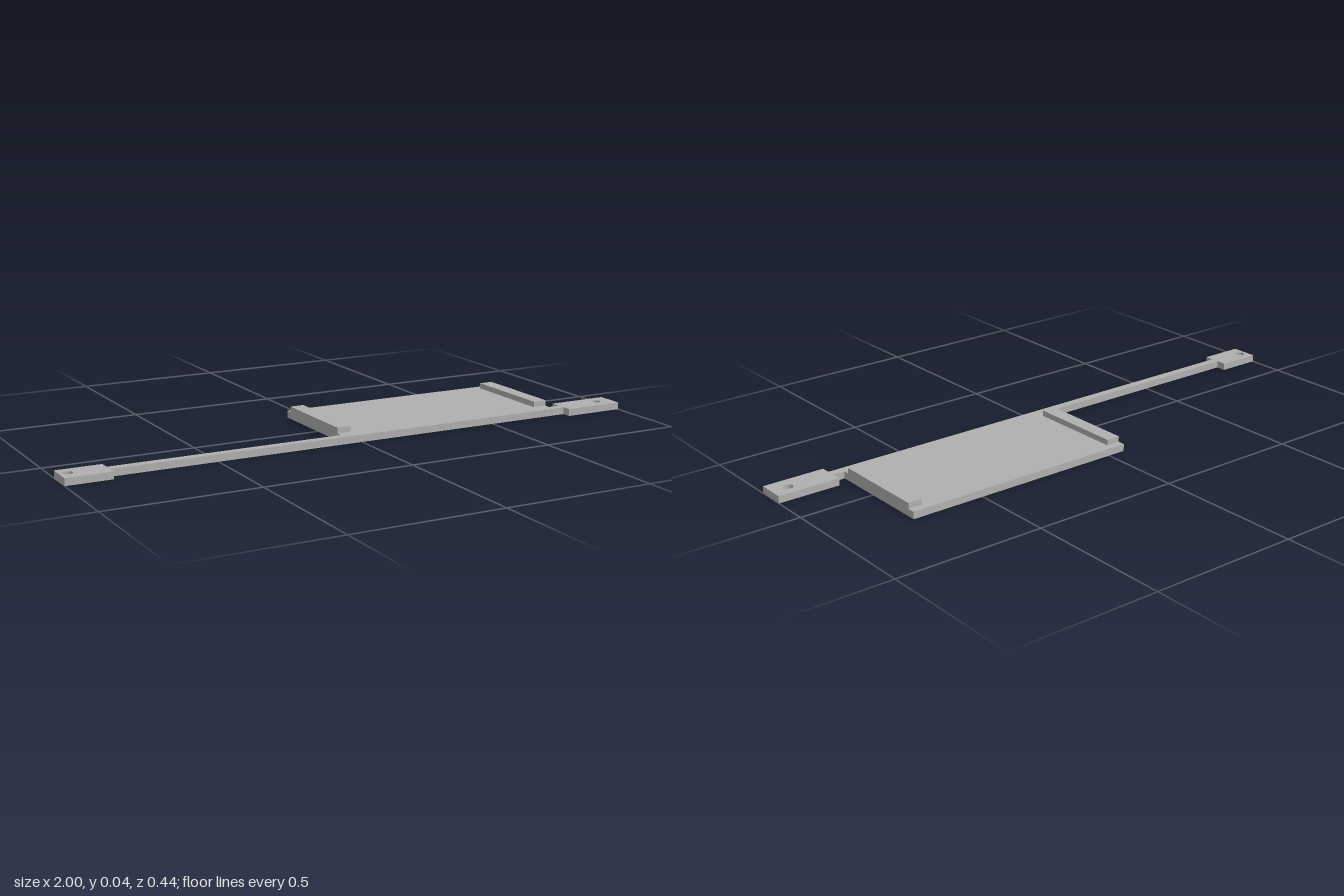
import * as THREE from 'three';

const T = 0.024; // sheet thickness

export function createModel() {
  const model = new THREE.Group();
  model.name = 'mountingBracket';
  const grey = new THREE.MeshStandardMaterial({ color: 0xb0b0b0 });
  grey.name = 'plain grey';

  // Flat base: plate, thin arm and end tabs in one outline of [x, z] points
  const outline = [
    [-1, 0.219], [-0.85, 0.219], [-0.85, 0.188], [0.79, 0.188], [0.79, 0.219], [1, 0.219],
    [1, 0.125], [0.79, 0.125], [0.79, 0.16], [0.75, 0.16], [0.75, -0.219], [-0.062, -0.219],
    [-0.062, 0.16], [-0.85, 0.16], [-0.85, 0.125], [-1, 0.125],
  ];
  const shape = new THREE.Shape(outline.map(([x, z]) => new THREE.Vector2(x, -z)));

  // Screw holes in the end tabs
  for (const x of [-0.973, 0.942]) {
    const hole = new THREE.Path();
    hole.absarc(x, -0.168, 0.016, 0, Math.PI * 2, true);
    shape.holes.push(hole);
  }
  const baseGeometry = new THREE.ExtrudeGeometry(shape, { depth: T, bevelEnabled: false, curveSegments: 24 });
  baseGeometry.rotateX(-Math.PI / 2);
  const base = new THREE.Mesh(baseGeometry, grey);
  base.name = 'basePlateWithArmAndTabs';
  model.add(base);

  // Raised rails along both sides of the plate
  for (const [name, x] of [['rightRail', -0.038], ['leftRail', 0.726]]) {
    const rail = new THREE.Mesh(new THREE.BoxGeometry(0.048, 0.019, 0.332), grey);
    rail.name = name;
    rail.position.set(x, T + 0.0095, -0.028);
    model.add(rail);
  }
  return model;
}
